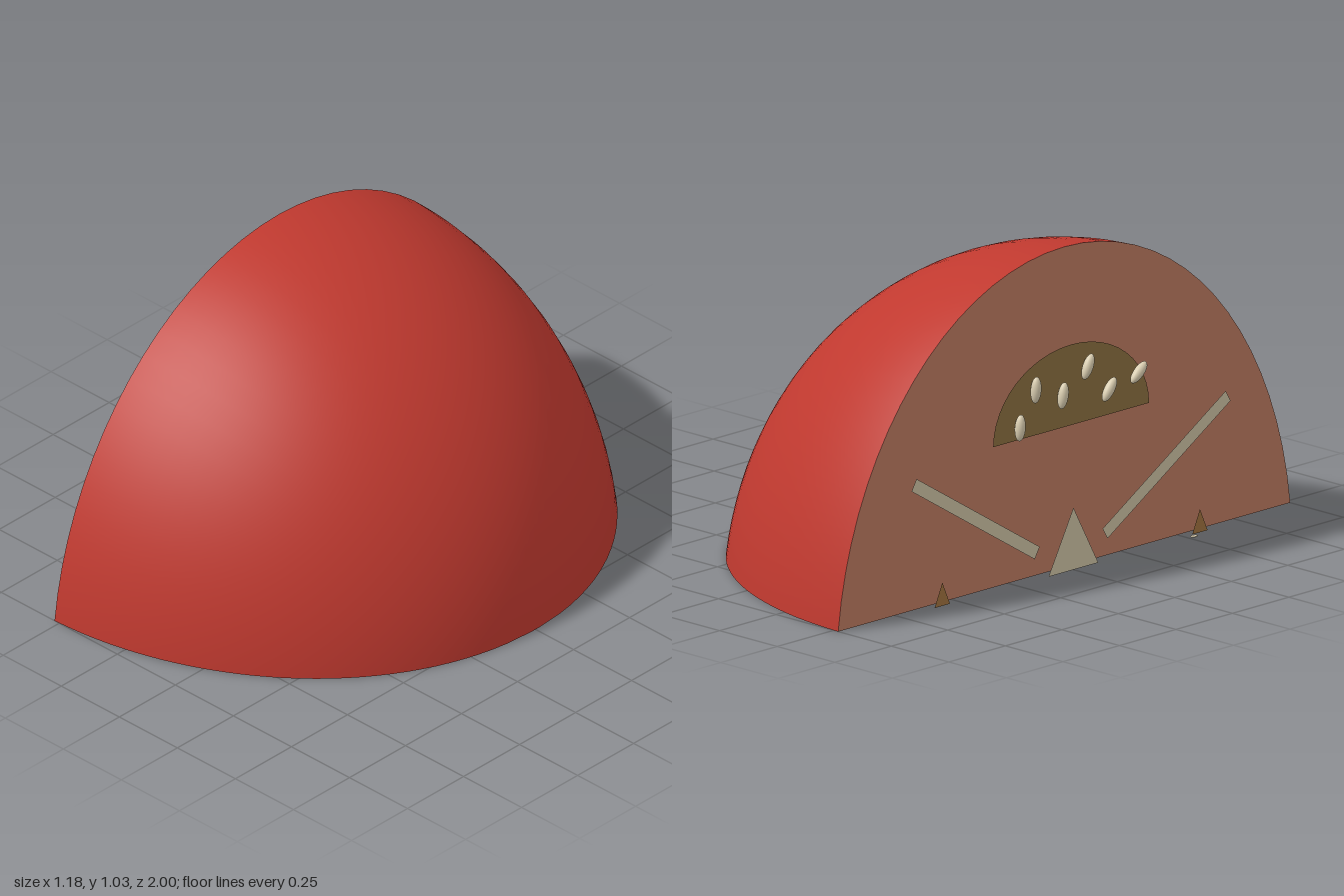
import * as THREE from 'three';
import { ParametricGeometry } from 'three/addons/geometries/ParametricGeometry.js';

const material = (name, color, side = THREE.FrontSide) => {
  const m = new THREE.MeshStandardMaterial({ color, side });
  m.name = name;
  return m;
};

// Ellipsoid that the dome is cut from: centre and semi-axes
const CX = -0.56, CY = -0.15, AX = 1.156, AY = 1.185, AZ = 1.009;
const FACE_X = -0.52;

// Point on the dome: v runs from the cut face to the tip, u across the arch
function domePoint(u, v, target) {
  const t0 = Math.asin((FACE_X - CX) / AX);
  const t1 = Math.acos(-CY / AY) * 0.9995;
  const t = t0 + v * (t1 - t0);
  const f = Math.cos(t);
  const start = Math.asin(Math.min(1, -CY / (AY * f)));
  const a = start + u * (Math.PI - 2 * start);
  return target.set(CX + AX * Math.sin(t), CY + AY * f * Math.sin(a), -AZ * f * Math.cos(a));
}

export function createModel() {
  const group = new THREE.Group();
  const red = material('red shell', 0xc0392f);
  const brown = material('brown cut', 0xbe7b62, THREE.DoubleSide);
  const olive = material('olive mouth', 0x8c7040, THREE.DoubleSide);
  const cream = material('cream plates', 0xcfc4a6, THREE.DoubleSide);
  const tan = material('tan spikes', 0xa0733f, THREE.DoubleSide);
  const ivory = material('ivory seeds', 0xd9cdb0);

  const add = (name, geometry, mat) => {
    const mesh = new THREE.Mesh(geometry, mat);
    mesh.name = name;
    group.add(mesh);
    return mesh;
  };

  // Flat plate facing -x, outlined by [z, y] points
  const plate = (name, points, x, mat) => {
    const shape = new THREE.Shape(points.map(([z, y]) => new THREE.Vector2(z, y)));
    const geometry = new THREE.ShapeGeometry(shape).rotateY(-Math.PI / 2);
    return add(name, geometry.translate(x, 0, 0), mat);
  };

  // Dome shell
  add('dome', new ParametricGeometry(domePoint, 36, 32), red);

  // Cut face and underside follow the dome's open edges
  const p = new THREE.Vector3();
  const arch = [], underside = [];
  for (let i = 0; i <= 36; i++) {
    domePoint(i / 36, 0, p);
    arch.push([p.z, p.y]);
  }
  for (let i = 0; i <= 32; i++) {
    domePoint(0, i / 32, p);
    underside.push(new THREE.Vector2(p.x, p.z));
  }
  for (let i = 32; i >= 0; i--) {
    domePoint(1, i / 32, p);
    underside.push(new THREE.Vector2(p.x, p.z));
  }
  plate('cutFace', arch, FACE_X, brown);
  add('underside', new THREE.ShapeGeometry(new THREE.Shape(underside)).rotateX(Math.PI / 2), brown);

  // Half-oval mouth
  const mouth = [];
  for (let i = 0; i <= 24; i++) {
    const a = (i / 24) * Math.PI;
    mouth.push([0.345 * Math.cos(a), 0.465 + 0.26 * Math.sin(a)]);
  }
  plate('mouth', mouth, -0.55, olive);

  // Central triangle at the base
  plate('centreTriangle', [[-0.11, 0], [0.11, 0], [0, 0.2]], -0.56, cream);

  // Slanted bars and small spikes, mirrored in z
  for (const s of [-1, 1]) {
    const a = new THREE.Vector2(s * 0.15, 0.083), b = new THREE.Vector2(s * 0.695, 0.415);
    const d = b.clone().sub(a).normalize().multiplyScalar(0.021);
    plate('slantedBar', [
      [a.x - d.y, a.y + d.x], [a.x + d.y, a.y - d.x],
      [b.x + d.y, b.y - d.x], [b.x - d.y, b.y + d.x],
    ], -0.55, cream);
    plate('smallSpike', [[s * 0.57 - 0.034, 0], [s * 0.57 + 0.034, 0], [s * 0.57, 0.075]], -0.55, tan);
  }

  // Seeds: z, y, tilt
  const seedGeometry = new THREE.SphereGeometry(1, 20, 14).scale(0.017, 0.042, 0.017);
  const seeds = [
    [-0.25, 0.512, 0.1], [-0.18, 0.62, 0.1], [-0.06, 0.577, 0.2],
    [0.05, 0.648, 0.45], [0.145, 0.555, 0.65], [0.275, 0.583, 0.85],
  ];
  for (const [z, y, tilt] of seeds) {
    const seed = add('seed', seedGeometry, ivory);
    seed.position.set(-0.574, y, z);
    seed.rotation.x = tilt;
  }

  // Tiny fallen seed on the ground
  add('fallenSeed', new THREE.SphereGeometry(1, 12, 8).scale(0.009, 0.003, 0.015), ivory)
    .position.set(-0.574, 0.003, 0.52);

  return group;
}
